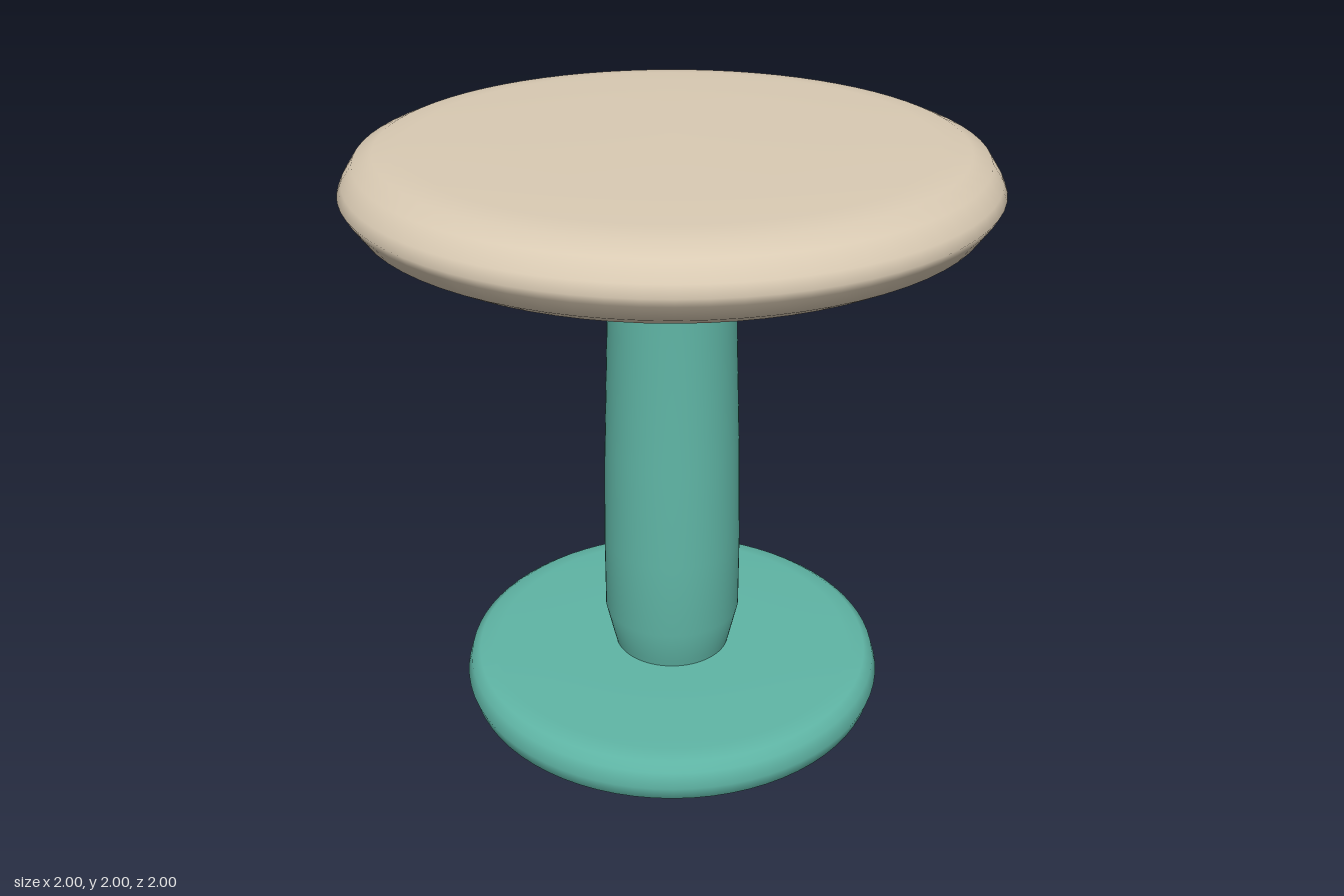
import * as THREE from 'three';

export function createModel() {
  const group = new THREE.Group();
  const mat = (name, color) => {
    const m = new THREE.MeshStandardMaterial({ color });
    m.name = name;
    return m;
  };
  const teal = mat('teal', 0x5fb5a5);
  const beige = mat('beige', 0xd9cab3);

  // turned part from a [radius, height] profile, listed from bottom to top
  const turned = (name, profile, material) => {
    const points = profile.map(([r, y]) => new THREE.Vector2(r, y));
    const mesh = new THREE.Mesh(new THREE.LatheGeometry(points, 72), material);
    mesh.name = name;
    group.add(mesh);
  };

  // round foot plate with a soft rim
  turned('base', [
    [0, 0], [0.35, 0.005], [0.62, 0.013], [0.68, 0.022], [0.71, 0.045], [0.725, 0.095],
    [0.71, 0.147], [0.68, 0.168], [0.62, 0.177], [0.35, 0.183], [0, 0.185],
  ], teal);

  // gently tapering column, tucked in at both ends
  turned('column', [
    [0.195, 0.17], [0.205, 0.21], [0.232, 0.33], [0.232, 0.6], [0.224, 0.95],
    [0.209, 1.38], [0.213, 1.64], [0.209, 1.72], [0.2, 1.76],
  ], teal);

  // round seat cushion with a bevelled rim
  turned('seat', [
    [0, 1.735], [0.5, 1.74], [0.8, 1.747], [0.89, 1.757], [0.95, 1.79], [0.985, 1.84], [1, 1.867],
    [0.985, 1.9], [0.95, 1.952], [0.89, 1.978], [0.8, 1.988], [0.5, 1.996], [0, 2],
  ], beige);

  return group;
}
